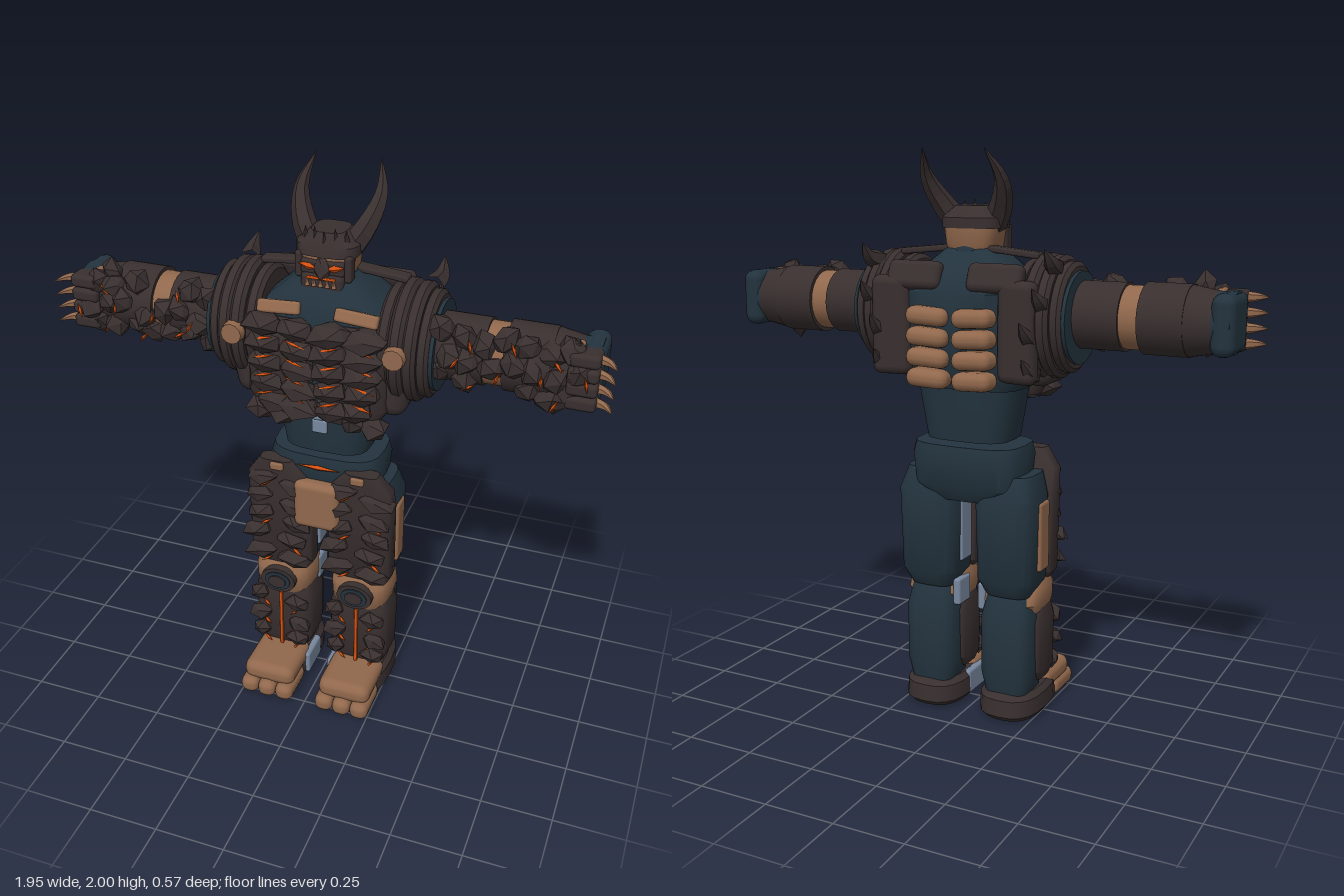
import * as THREE from 'three';
import { toCreasedNormals } from 'three/addons/utils/BufferGeometryUtils.js';
import { RoundedBoxGeometry } from 'three/addons/geometries/RoundedBoxGeometry.js';

const mat = (name, color) => Object.assign(new THREE.MeshStandardMaterial({ color }), { name });

export function createModel() {
  const stone = mat('dark stone', 0x392f2f), navy = mat('navy hide', 0x23333e), tan = mat('tan leather', 0x91684c);
  const ember = mat('ember orange', 0xd4500f), slate = mat('slate blue', 0x77879e);
  const model = new THREE.Group();
  model.name = 'hornedGolem';

  const add = (parent, name, geo, material, x = 0, y = 0, z = 0, rx = 0, ry = 0, rz = 0) => {
    const m = new THREE.Mesh(geo, material);
    m.name = name;
    m.position.set(x, y, z);
    m.rotation.set(rx, ry, rz);
    parent.add(m);
    return m;
  };
  const group = (name, parent = model) => {
    const g = new THREE.Group();
    g.name = name;
    parent.add(g);
    return g;
  };
  const block = (w, h, d, r = 0.02) => new RoundedBoxGeometry(w, h, d, 2, Math.min(r, w / 2.01, h / 2.01, d / 2.01));

  // Stacked rounded sections: [y, halfWidth, zBack, zFront, xCentre]
  const loft = (rows, power = 0.6, n = 20) => {
    const pos = [], idx = [];
    const curve = (v) => Math.sign(v) * Math.abs(v) ** power;
    rows.forEach(([y, hx, z0, z1, cx = 0]) => {
      for (let i = 0; i < n; i++) {
        const a = (i / n) * Math.PI * 2;
        pos.push(cx + hx * curve(Math.sin(a)), y, (z0 + z1) / 2 + ((z1 - z0) / 2) * curve(Math.cos(a)));
      }
    });
    for (let r = 0; r < rows.length - 1; r++)
      for (let i = 0; i < n; i++) {
        const a = r * n + i, b = r * n + ((i + 1) % n);
        idx.push(a, b, b + n, a, b + n, a + n);
      }
    const top = (rows.length - 1) * n;
    for (let i = 1; i < n - 1; i++) idx.push(0, i + 1, i, top, top + i, top + i + 1);
    const g = new THREE.BufferGeometry();
    g.setAttribute('position', new THREE.Float32BufferAttribute(pos, 3));
    g.setIndex(idx);
    return toCreasedNormals(g, 0.6);
  };

  // Faceted, irregular rock
  const rock = (sx, sy, sz, seed) => {
    const g = new THREE.IcosahedronGeometry(1, 0), p = g.attributes.position;
    for (let i = 0; i < p.count; i++) {
      const x = p.getX(i), y = p.getY(i), z = p.getZ(i);
      const k = 1 + 0.24 * Math.sin(5 * x + 9 * y + 7 * z + seed * 2.3);
      p.setXYZ(i, x * sx * k, y * sy * k, z * sz * k);
    }
    g.computeVertexNormals();
    return g;
  };
  // Thin glowing sliver
  const crack = (len, h = 0.009) => new THREE.OctahedronGeometry(1, 0).scale(len / 2, h, 0.009);

  // Tapered horn along a curve
  const horn = (pts, radius, sides = 6) => {
    const curve = new THREE.CatmullRomCurve3(pts.map((p) => new THREE.Vector3(...p)));
    const n = 10, g = new THREE.TubeGeometry(curve, n, radius, sides), p = g.attributes.position;
    const v = new THREE.Vector3();
    for (let i = 0; i < p.count; i++) {
      const t = Math.floor(i / (sides + 1)) / n, c = curve.getPointAt(t);
      v.fromBufferAttribute(p, i).sub(c).multiplyScalar(1 - t ** 1.6).add(c);
      p.setXYZ(i, v.x, v.y, v.z);
    }
    const flat = g.toNonIndexed();
    flat.computeVertexNormals();
    return flat;
  };
  const drumX = (r0, r1, len) => new THREE.CylinderGeometry(r1, r0, len, 24).rotateZ(-Math.PI / 2);

  // Torso
  const torso = group('torso');
  add(torso, 'abdomen', loft([[1.015, 0.155, -0.17, 0.065], [1.13, 0.175, -0.18, 0.075], [1.28, 0.2, -0.19, 0.08]]), navy);
  add(torso, 'chestCore', loft([[1.2, 0.2, -0.19, 0.08], [1.3, 0.25, -0.22, 0.1], [1.53, 0.25, -0.23, 0.1],
    [1.6, 0.17, -0.19, 0.08], [1.67, 0.09, -0.12, 0.04]]), navy);
  add(torso, 'bellyPlate', block(0.055, 0.05, 0.02, 0.005), slate, 0, 1.125, 0.073);
  add(torso, 'bellyNub', block(0.04, 0.05, 0.03, 0.005), slate, 0, 1.18, 0.075);
  add(torso, 'pelvis', loft([[0.8, 0.15, -0.16, 0.05], [0.85, 0.2, -0.19, 0.07], [0.96, 0.21, -0.2, 0.09], [1.0, 0.2, -0.19, 0.08]]), navy);
  add(torso, 'loincloth', block(0.17, 0.19, 0.06, 0.025), tan, 0, 0.815, 0.1);
  add(torso, 'beltGlow', crack(0.17, 0.01), ember, 0, 0.965, 0.095);

  for (const s of [-1, 1]) {
    const side = s > 0 ? 'left' : 'right';

    // Chest armour: rows of overhanging rocks
    add(torso, side + 'ChestPlate', loft([[1.16, 0.09, 0.03, 0.1, s * 0.11], [1.24, 0.12, 0, 0.13, s * 0.13],
      [1.47, 0.12, 0, 0.13, s * 0.13], [1.53, 0.09, 0.02, 0.1, s * 0.11]]), stone);
    for (let r = 0; r < 5; r++)
      for (let c = 0; c < 2; c++) {
        const y = 1.5 - r * 0.068, x = s * (0.06 + c * (r > 3 ? 0.09 : 0.115));
        add(torso, side + 'ChestRock', rock(0.077, 0.043, 0.05, r * 3 + c * 5 + s), stone, x, y, 0.13 - c * 0.012, 0.25, 0, s * 0.12);
        if (r < 4) add(torso, side + 'ChestCrack', crack(0.085, 0.006), ember, x, y - 0.034, 0.158 - c * 0.012, 0, 0, s * (c ? -0.25 : 0.3));
      }
    for (const x of [0.05, 0.13, 0.2])
      add(torso, side + 'BellyRock', rock(0.05, 0.045, 0.05, x * 50 + s), stone, s * x, x > 0.06 ? 1.18 : 1.23, 0.1);
    add(torso, side + 'FlankArmour', block(0.14, 0.23, 0.22, 0.05), stone, s * 0.25, 1.33, -0.01, 0, 0, -s * 0.2);
    add(torso, side + 'Collar', block(0.15, 0.045, 0.04, 0.01), tan, s * 0.135, 1.56, 0.088, -0.4, 0, -s * 0.06);
    add(torso, side + 'CollarStrap', block(0.19, 0.022, 0.05, 0.008), stone, s * 0.165, 1.66, -0.08, 0, 0, -s * 0.1);

    // Back: stacked rib pads, side panel, spikes
    for (let r = 0; r < 4; r++)
      add(torso, side + 'BackRib', block(0.15, 0.064, 0.09, 0.03), tan, s * 0.085, 1.24 + r * 0.07, -0.225, 0, s * 0.12, s * 0.06);
    add(torso, side + 'BackPanel', block(0.14, 0.34, 0.07, 0.03), stone, s * 0.235, 1.41, -0.205, 0, s * 0.15, 0);
    add(torso, side + 'ShoulderBlade', block(0.2, 0.1, 0.06, 0.025), stone, s * 0.15, 1.58, -0.195, 0.35);
    for (const [x, y, z] of [[0.33, 1.62, -0.13], [0.31, 1.5, -0.18], [0.27, 1.39, -0.19], [0.27, 1.27, -0.17]])
      add(torso, side + 'BackSpike', horn([[s * x, y, z], [s * (x + 0.01), y + 0.015, z - 0.05], [s * (x + 0.005), y + 0.065, z - 0.1]], 0.035, 5), stone);

    // Shoulder: stepped rings with a hide socket
    const shoulder = group(side + 'Shoulder');
    shoulder.position.set(0, 1.45, -0.045);
    for (const [x, w, r] of [[0.23, 0.05, 0.19], [0.275, 0.05, 0.21], [0.32, 0.05, 0.205], [0.36, 0.045, 0.185]])
      add(shoulder, 'shoulderRing', toCreasedNormals(new THREE.LatheGeometry([[0, -w / 2], [r - 0.015, -w / 2], [r, -w / 4], [r, w / 4], [r - 0.015, w / 2], [0, w / 2]]
        .map((p) => new THREE.Vector2(...p)), 28), 0.6).rotateZ(Math.PI / 2).scale(1, 1, 0.92), stone, s * x);
    add(shoulder, 'shoulderSocket', drumX(0.155, 0.155, 0.04), navy, s * 0.375);
    add(shoulder, 'shoulderStud', new THREE.CylinderGeometry(0.036, 0.04, 0.03, 12).rotateX(Math.PI / 2), tan, s * 0.28, 0.02, 0.195);

    // Arm held straight out
    const arm = group(side + 'Arm');
    arm.position.set(0, 1.46, -0.03);
    add(arm, 'upperArm', drumX(0.113, 0.113, 0.2), stone, s * 0.45);
    add(arm, 'elbowBand', drumX(0.105, 0.105, 0.1), tan, s * 0.58);
    add(arm, 'forearm', drumX(0.118, 0.118, 0.15), stone, s * 0.69);
    add(arm, 'forearmEnd', s > 0 ? drumX(0.118, 0.1, 0.1) : drumX(0.1, 0.118, 0.1), stone, s * 0.8);
    add(arm, 'wrist', drumX(0.1, 0.1, 0.08), navy, s * 0.87);
    add(arm, 'hand', block(0.08, 0.2, 0.19, 0.035), navy, s * 0.885, 0, -0.01);
    add(arm, 'wristBand', block(0.025, 0.21, 0.06, 0.01), tan, s * 0.845, 0, 0.05);
    for (let i = 0; i < 4; i++) {
      const y = 0.075 - i * 0.05;
      add(arm, 'knuckle', block(0.1, 0.047, 0.08, 0.015), stone, s * 0.87, y, 0.085);
      add(arm, 'claw', horn([[s * 0.9, y, 0.08], [s * 0.945, y, 0.1], [s * 0.975, y - 0.004, 0.14]], 0.019, 6), tan);
    }
    // Rock crust along the front of the arm
    for (let i = 0; i < 7; i++)
      for (let j = 0; j < 3; j++) {
        const x = 0.41 + i * 0.07 + (j % 2) * 0.025, y = 0.075 - j * 0.072 + 0.018 * Math.sin(i * 2.1 + s);
        if ((s < 0 && j === 0 || s > 0 && j === 2) && (i === 2 || i === 3)) continue;
        add(arm, 'armRock', rock(0.047, 0.05, 0.045, i * 4 + j * 7 + s), stone, s * x, y, 0.1 - Math.abs(j - 1) * 0.018, 0, 0, i);
        if ((i + j) % 2) add(arm, 'armCrack', crack(0.06, 0.006), ember, s * (x + 0.03), y - 0.015, 0.135 - Math.abs(j - 1) * 0.018, 0, 0, i * 1.7 + j);
      }
    add(arm, 'forearmSpur', rock(0.045, 0.055, 0.04, 2), stone, s * 0.78, s < 0 ? 0.1 : -0.1, 0.06, 0, 0, 0.5);
    add(arm, 'forearmSpur', rock(0.05, 0.05, 0.04, 5), stone, s * 0.82, s < 0 ? -0.07 : 0.085, 0.07, 0, 0, 1);

    // Leg
    const leg = group(side + 'Leg');
    leg.position.x = s * 0.15;
    add(leg, 'thigh', loft([[0.46, 0.085, -0.13, 0.03], [0.52, 0.11, -0.165, 0.05], [0.82, 0.115, -0.175, 0.05], [0.9, 0.09, -0.14, 0.05]]), navy);
    add(leg, 'thighArmour', loft([[0.5, 0.1, 0, 0.08], [0.53, 0.12, -0.015, 0.1], [0.8, 0.123, 0, 0.105],
      [0.9, 0.115, 0.02, 0.11, s * 0.005], [0.97, 0.06, 0.05, 0.11, s * 0.01]], 0.5), stone);
    add(leg, 'thighSidePanel', block(0.03, 0.25, 0.08, 0.012), tan, s * 0.107, 0.68, -0.045);
    add(leg, 'innerThighPanel', block(0.02, 0.25, 0.08, 0.008), slate, -s * 0.108, 0.68, -0.05);
    add(leg, 'hipTab', block(0.05, 0.03, 0.03, 0.008), tan, 0, 0.95, 0.105);
    add(leg, 'kneeJoint', loft([[0.38, 0.1, -0.09, 0.09], [0.43, 0.112, -0.12, 0.11], [0.48, 0.112, -0.1, 0.11], [0.515, 0.1, -0.06, 0.09]]), tan);
    add(leg, 'innerKnee', block(0.03, 0.1, 0.09, 0.01), slate, -s * 0.1, 0.44, -0.06);
    const disc = (r, d) => new THREE.CylinderGeometry(r, r, d, 16).rotateX(Math.PI / 2).scale(1, 0.75, 1);
    add(leg, 'kneeDisc', disc(0.068, 0.03), stone, 0, 0.455, 0.113);
    add(leg, 'kneeInset', disc(0.05, 0.03), navy, 0, 0.455, 0.118);
    add(leg, 'kneeCap', disc(0.034, 0.03), stone, 0, 0.455, 0.124);
    add(leg, 'calf', loft([[0.1, 0.085, -0.14, 0.04], [0.17, 0.1, -0.15, 0.05], [0.38, 0.1, -0.15, 0.05], [0.46, 0.085, -0.12, 0.04]]), navy);
    add(leg, 'shinArmour', loft([[0.13, 0.1, -0.05, 0.08], [0.17, 0.115, -0.085, 0.095], [0.36, 0.118, -0.09, 0.095], [0.42, 0.105, -0.06, 0.08]], 0.5), stone);
    add(leg, 'shinGlow', block(0.013, 0.25, 0.012, 0.003), ember, 0, 0.255, 0.096);

    // Rock ledges on thigh and shin
    for (let r = 0; r < 5; r++)
      for (let c = 0; c < 2; c++) {
        const x = (c - 0.5) * 0.13 - (r % 2) * 0.012, y = 0.9 - r * 0.083 - c * 0.025;
        add(leg, 'thighRock', rock(0.068, 0.033, 0.04, r * 5 + c * 3), stone, x, y, 0.095, 0.25, 0, c ? -0.3 : 0.25);
        if ((r + c) % 2 === 0) add(leg, 'thighCrack', crack(0.06, 0.006), ember, x + 0.02, y - 0.03, 0.113, 0, 0, c ? -0.7 : 0.6);
      }
    for (let r = 0; r < 3; r++)
      for (const c of [-1, 1]) {
        const y = 0.35 - r * 0.085 - (c > 0 ? 0.02 : 0);
        add(leg, 'shinRock', rock(0.05, 0.036, 0.036, r * 7 + c), stone, c * 0.075 - 0.01, y, 0.085, 0.2, 0, c * -0.4);
        add(leg, 'shinCrack', crack(0.045, 0.005), ember, c * 0.055, y - 0.032, 0.102, 0, 0, c * 0.8);
      }

    // Foot with three toes
    add(leg, 'sole', loft([[0.005, 0.1, -0.15, 0.15], [0.025, 0.115, -0.17, 0.17], [0.085, 0.113, -0.165, 0.16], [0.105, 0.095, -0.14, 0.14]], 0.75), stone);
    add(leg, 'instep', block(0.2, 0.08, 0.22, 0.035), tan, 0, 0.09, 0.145);
    add(leg, 'innerHeel', block(0.03, 0.09, 0.13, 0.01), slate, -s * 0.1, 0.06, 0.04);
    for (let i = -1; i <= 1; i++)
      add(leg, 'toe', block(0.07, 0.066, 0.17, 0.028), tan, i * 0.069, 0.038, 0.2 - Math.abs(i) * 0.002);
  }

  // Head
  const head = group('head');
  add(head, 'neck', new THREE.CylinderGeometry(0.07, 0.095, 0.12, 16), navy, 0, 1.66, -0.05);
  add(head, 'skull', loft([[1.64, 0.075, -0.11, 0.035], [1.68, 0.09, -0.13, 0.045], [1.75, 0.1, -0.13, 0.045]]), tan);
  add(head, 'helmet', loft([[1.735, 0.108, -0.13, 0.05], [1.77, 0.108, -0.13, 0.045], [1.81, 0.06, -0.1, 0.02]]), stone);
  add(head, 'jaw', block(0.15, 0.075, 0.07, 0.02), stone, 0, 1.645, 0.025);
  add(head, 'noseGuard', rock(0.03, 0.05, 0.025, 3), stone, 0, 1.7, 0.045);
  add(head, 'faceMask', block(0.15, 0.05, 0.03, 0.01), stone, 0, 1.7, 0.037);
  add(head, 'mouthGlow', block(0.1, 0.008, 0.01, 0.003), ember, 0, 1.668, 0.06);
  for (let i = -2; i <= 2; i++)
    add(head, 'tooth', new THREE.ConeGeometry(0.009, 0.028, 5), tan, i * 0.023, 1.655, 0.062);
  for (let i = -2; i <= 2; i++)
    add(head, 'crownSpike', new THREE.ConeGeometry(0.024, 0.1 - Math.abs(i) * 0.01, 4), stone, i * 0.035, 1.785 - (i === 0 ? 0.015 : 0), 0.03 - Math.abs(i) * 0.01);
  for (const s of [-1, 1]) {
    add(head, 'eye', crack(0.075, 0.012), ember, s * 0.045, 1.705, 0.056, 0, 0, s * 0.2);
    add(head, 'cheekGuard', block(0.025, 0.09, 0.05, 0.01), stone, s * 0.085, 1.7, 0.02);
    add(head, 'horn', horn([[s * 0.065, 1.745, -0.04], [s * 0.108, 1.81, -0.07], [s * 0.137, 1.9, -0.13], [s * 0.112, 2.0, -0.21]], 0.044), stone);
  }
  return model;
}
